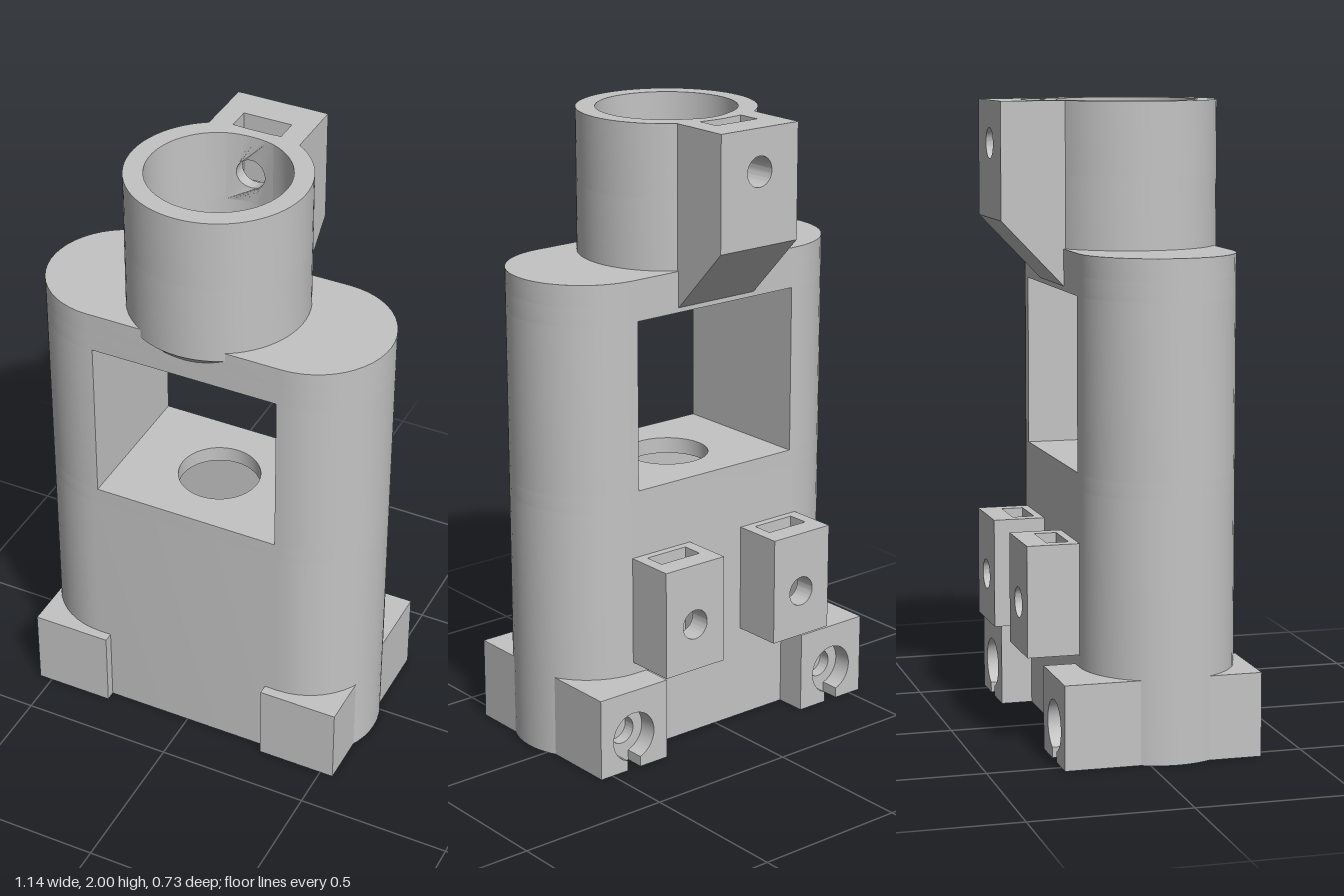
import * as THREE from 'three';
import { toCreasedNormals } from 'three/addons/utils/BufferGeometryUtils.js';

const CZ = 0.08; // depth of the body axis
const rad = THREE.MathUtils.degToRad;
const deg = THREE.MathUtils.radToDeg;

// Points on an arc, angles in degrees
function arc(cx, cy, r, a0, a1, n = 24) {
  return Array.from({ length: n + 1 }, (_, i) => {
    const a = rad(a0 + (a1 - a0) * i / n);
    return [cx + r * Math.cos(a), cy + r * Math.sin(a)];
  });
}
const circle = (cx, cy, r) => arc(cx, cy, r, 0, 360, 48).slice(0, -1);
const rect = (x0, y0, x1, y1) => [[x0, y0], [x1, y0], [x1, y1], [x0, y1]];
const flip = (pts, s) => pts.map(([x, y]) => [s * x, y]);
const stadium = r => [...arc(0.325, CZ, r, -90, 90), ...arc(-0.325, CZ, r, 90, 270)];

function extrude(pts, holes, depth) {
  const v = list => list.map(([x, y]) => new THREE.Vector2(x, y));
  const shape = new THREE.Shape(v(pts));
  holes.forEach(h => shape.holes.push(new THREE.Path(v(h))));
  return new THREE.ExtrudeGeometry(shape, { depth, bevelEnabled: false });
}

export function createModel() {
  const model = new THREE.Group();
  const grey = new THREE.MeshStandardMaterial({ color: 0xc4c4c4 });
  grey.name = 'light grey';

  function add(name, geometry, parent = model) {
    const mesh = new THREE.Mesh(toCreasedNormals(geometry, 0.5), grey);
    mesh.name = name;
    parent.add(mesh);
  }
  // Upright slab from an (x, z) outline, and a slab facing the front from an (x, y) outline
  const slabY = (name, pts, y0, y1, holes = [], parent) =>
    add(name, extrude(pts, holes, y1 - y0).rotateX(Math.PI / 2).translate(0, y1, 0), parent);
  const slabZ = (name, pts, z0, z1, holes = [], parent) =>
    add(name, extrude(pts, holes, z1 - z0).translate(0, 0, z0), parent);
  const group = name => {
    const g = new THREE.Group();
    g.name = name;
    model.add(g);
    return g;
  };

  // Body: hollow lower part, window floor, window sides and roof
  const body = group('body');
  const R = 0.245, r = 0.17, bore = 0.222, tube = 0.283;
  slabY('lowerWalls', [
    ...stadium(R),
    ...arc(-0.325, CZ, r, 270, 90), ...arc(0.325, CZ, r, 90, -90),
  ], 0, 0.82, [], body);
  slabZ('lowerBackWall', rect(-0.325, 0, 0.325, 0.82), CZ - R, CZ - r,
    [circle(0.22, 0.457, 0.048), circle(-0.22, 0.457, 0.048)], body);
  slabY('windowFloor', stadium(R), 0.82, 0.872, [circle(0, CZ, 0.132)], body);
  for (const s of [1, -1]) {
    slabY('windowSide', flip([...arc(0.325, CZ, R, -90, 90), [0.31, CZ + R], [0.31, CZ - R]], s),
      0.872, 1.415, [], body);
  }
  slabY('windowRoof', stadium(R), 1.415, 1.477, [], body);
  slabY('bodyTop', stadium(R), 1.477, 1.545, [circle(0, CZ, bore)], body);

  // Collar: tube with a chamfered foot and a clamp block behind it
  const collar = group('collar');
  const outer = deg(Math.acos(0.151 / tube));
  const inner = deg(Math.acos(0.08 / bore));
  const tubeArc = arc(0, CZ, tube, -outer, 180 + outer, 56);
  const boreArc = arc(0, CZ, bore, 180 + inner, -inner, 56);
  const tubeBack = arc(0, CZ, tube, 180 + outer, 360 - outer, 12).slice(1, -1);
  const boreBack = arc(0, CZ, bore, -inner, inner - 180, 8).slice(1, -1);
  add('collarChamfer', new THREE.CylinderGeometry(tube, tube - 0.04, 0.04, 64, 1, true)
    .translate(0, 1.497, CZ), collar);
  slabY('collarTube', [...tubeArc, ...tubeBack], 1.517, 1.77, [[...boreArc, ...boreBack]], collar);
  slabY('collarTop', [
    [0.08, -0.255], [0.151, -0.255], ...tubeArc, [-0.151, -0.255], [-0.08, -0.255], ...boreArc,
  ], 1.77, 2, [], collar);
  const screw = circle(0, 1.867, 0.048);
  slabZ('clampBackPlate', rect(-0.151, 1.77, 0.151, 2), -0.363, -0.255, [screw], collar);
  add('clampBase', extrude(
    [[-0.363, 1.77], [-0.363, 1.635], [-0.165, 1.43], [-0.15, 1.43], [-0.15, 1.77]], [], 0.302)
    .rotateY(-Math.PI / 2).translate(0.151, 0, 0), collar);

  // Wall between the nut slot and the bore, its front bent to the bore;
  // slightly hollow edges keep their middle points in the triangulation
  const xs = [-0.08, -0.06, -0.04, -0.02, 0, 0.02, 0.04, 0.06, 0.08];
  const dip = x => 0.002 * (1 - (x / 0.08) ** 2);
  const patch = extrude([
    ...xs.map(x => [x, 1.765 + dip(x)]), ...xs.map(x => [-x, 2 - dip(x)]),
  ], [screw], 0.05).translate(0, 0, -0.18);
  const p = patch.attributes.position;
  for (let i = 0; i < p.count; i++) {
    if (p.getZ(i) > -0.155) p.setZ(i, CZ - Math.sqrt(bore * bore - p.getX(i) ** 2));
  }
  add('clampInnerWall', patch, collar);

  for (const s of [1, -1]) {
    const side = s > 0 ? 'left' : 'right';

    // Nut holder on the back: drilled plates around a slot open at the top
    const holder = group(side + 'NutHolder');
    const face = flip(rect(0.105, 0.305, 0.336, 0.655), s);
    const drill = [circle(s * 0.22, 0.457, 0.048)];
    slabZ('outerPlate', face, -0.331, -0.26, drill, holder);
    slabZ('slotWalls', flip([
      [0.105, 0.305], [0.336, 0.305], [0.336, 0.655], [0.297, 0.655],
      [0.297, 0.37], [0.145, 0.37], [0.145, 0.655], [0.105, 0.655],
    ], s), -0.26, -0.19, [], holder);
    slabZ('innerPlate', face, -0.19, CZ - R, drill, holder);

    // Back foot: counterbored screw hole with a notch to the ground
    const back = group(side + 'BackFoot');
    slabZ('counterbore', flip([
      [0.283, 0], [0.39, 0], ...arc(0.415, 0.11, 0.08, -108, -432, 36),
      [0.44, 0], [0.544, 0], [0.544, 0.265], [0.283, 0.265],
    ], s), -0.267, -0.205, [], back);
    slabZ('screwPlate', flip(rect(0.283, 0, 0.544, 0.265), s), -0.205, CZ - R,
      [circle(s * 0.415, 0.11, 0.045)], back);
    slabY('footFill', flip([
      [0.325, CZ - R], [0.544, CZ - R], [0.544, -0.02],
      ...arc(0.325, CZ, 0.21, -28, -90, 12),
    ], s), 0, 0.265, [], back);

    // Front foot
    slabY(side + 'FrontFoot', flip([
      [0.283, 0.357], [0.544, 0.357], [0.544, 0.18],
      ...arc(0.325, CZ, 0.21, 28, 90, 12), [0.283, 0.29],
    ], s), 0, 0.265);
  }
  return model;
}
